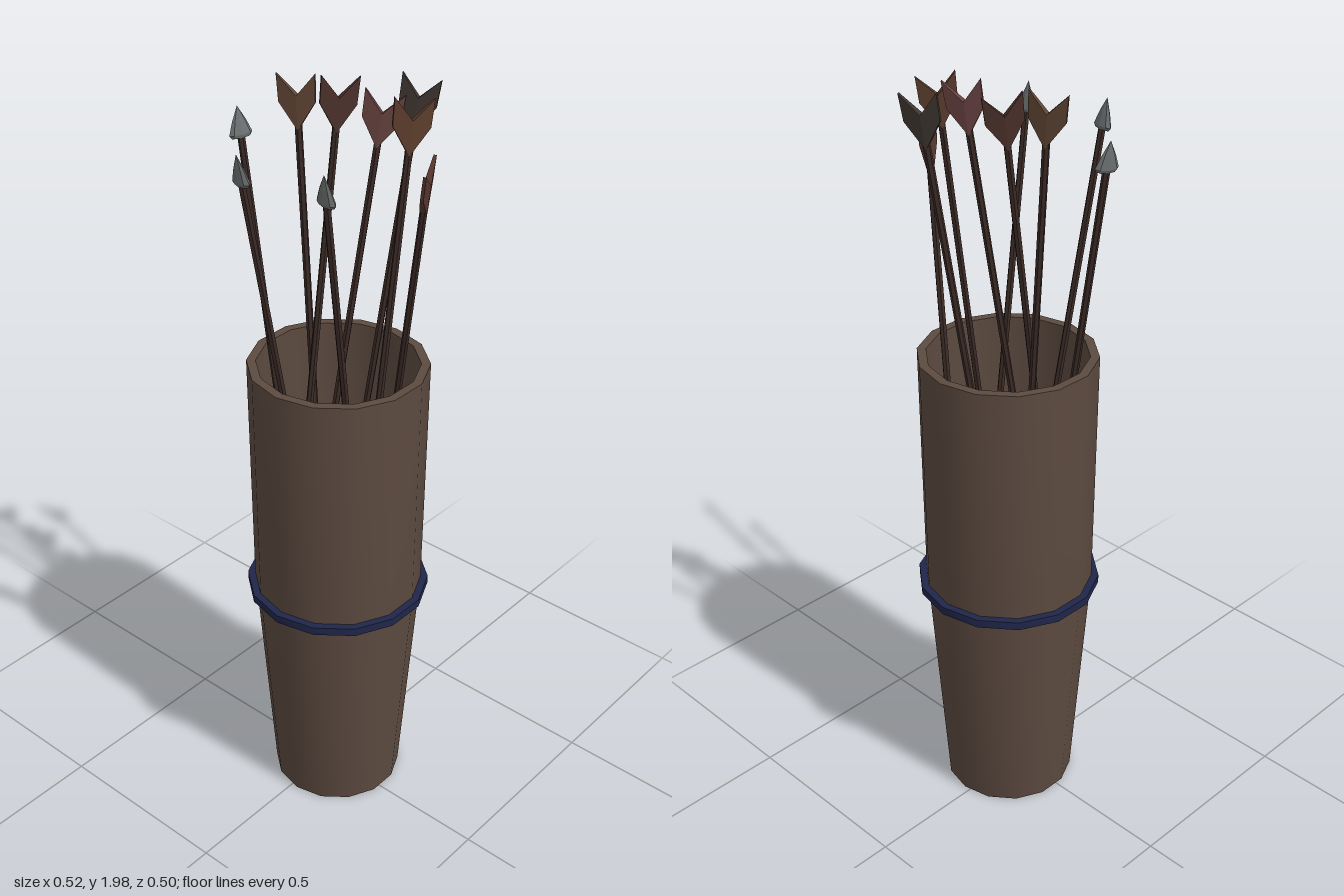
import * as THREE from 'three';
import { toCreasedNormals } from 'three/addons/utils/BufferGeometryUtils.js';

const SIDES = 14;
const mat = (color, flatShading = false) => new THREE.MeshStandardMaterial({ color, flatShading });

function mesh(name, geometry, material) {
  const m = new THREE.Mesh(geometry, material);
  m.name = name;
  return m;
}

// Revolved part with sharp profile corners and a smooth wall
function turned(profile) {
  const g = new THREE.LatheGeometry(profile.map(([r, y]) => new THREE.Vector2(r, y)), SIDES);
  return toCreasedNormals(g, 0.6);
}

// Flat swallow-tailed fletching, thinner towards the wing tips
function fletchingGeometry() {
  const s = new THREE.Shape();
  [[0, 0.905], [0.044, 0.97], [0.046, 1.035], [0, 0.985], [-0.046, 1.035], [-0.044, 0.97]]
    .forEach(([x, y], i) => (i ? s.lineTo(x, y) : s.moveTo(x, y)));
  const g = new THREE.ExtrudeGeometry(s, { depth: 0.018, bevelEnabled: false });
  g.translate(0, 0, -0.009);
  const p = g.attributes.position;
  for (let i = 0; i < p.count; i++) {
    p.setZ(i, p.getZ(i) * (1 - 0.6 * Math.abs(p.getX(i)) / 0.046));
  }
  return g;
}

// Flattened arrowhead with its point at the local origin
function headGeometry() {
  const pts = [[0, 0], [0.018, 0.035], [0.03, 0.066], [0.024, 0.074], [0, 0.07]];
  const g = new THREE.LatheGeometry(pts.map(([r, y]) => new THREE.Vector2(r, y)), 8);
  return g.scale(1, 1, 0.42);
}

export function createModel() {
  const group = new THREE.Group();
  const leather = mat(0x5c4a40);

  // Quiver: tapered foot, straight upper tube, open at the top
  const quiver = new THREE.Group();
  quiver.name = 'quiver';
  quiver.position.set(0.018, 0, -0.016);
  quiver.add(mesh('body', turned([
    [0, 0], [0.173, 0], [0.219, 0.64], [0.225, 1.295],
    [0.202, 1.295], [0.2, 0.65], [0, 0.65],
  ]), leather));
  quiver.add(mesh('band', turned([
    [0.215, 0.63], [0.238, 0.63], [0.238, 0.652], [0.215, 0.652], [0.215, 0.63],
  ]), mat(0x20264a)));
  group.add(quiver);

  // Arrows: tip, tail, direction of the flat side (x, z), fletching and head colours
  const grey = 0x6c7070;
  const arrows = [
    [[-0.038, 0.95, -0.005], [-0.12, 1.95, -0.028], [0.085, -0.04], 0x5e4332, 0x5e4332],
    [[-0.048, 0.95, 0.047], [-0.048, 1.95, -0.095], [0.052, -0.075], 0x4a302a, 0x5c3a35],
    [[0.01, 0.95, 0.036], [0.09, 1.95, -0.085], [0.075, -0.045], 0x664240, 0x664240],
    [[0.01, 0.95, -0.095], [0.09, 1.95, -0.215], [0.085, -0.04], 0x3e3530, 0x4c4842],
    [[0.165, 0.95, 0.048], [0.165, 1.95, -0.095], [0.06, -0.08], 0x5a3d2c, 0x5a4030],
    [[0.046, 0.84, -0.165], [0.236, 1.81, -0.062], [0.04, 0.085], 0x5a3830, 0x5a3a36],
    [[-0.253, 1.89, 0.03], [-0.1, 0.9, 0.033], [0.03, -0.085], 0x3a2a26, grey],
    [[-0.052, 1.89, 0.242], [0.01, 0.9, 0.097], [0.09, 0.015], 0x40352c, grey],
    [[0.165, 1.89, 0.203], [0.133, 0.9, 0.045], [0.09, 0.012], 0x55362f, grey],
  ];
  const shaftGeo = new THREE.CylinderGeometry(0.009, 0.009, 0.92, 6).translate(0, 0.525, 0);
  const fletchGeo = fletchingGeometry();
  const headGeo = headGeometry();
  const shaftMat = mat(0x3a2a25, true);

  arrows.forEach(([tip, tail, flat, fletchColor, headColor]) => {
    const arrow = new THREE.Group();
    arrow.name = 'arrow';
    arrow.add(mesh('shaft', shaftGeo, shaftMat));
    arrow.add(mesh('fletching', fletchGeo, mat(fletchColor, true)));
    arrow.add(mesh('arrowhead', headGeo, mat(headColor, true)));

    // Local y runs from tip to tail, local x lies along the flat side
    const start = new THREE.Vector3(...tip);
    const y = new THREE.Vector3(...tail).sub(start).normalize();
    const x = new THREE.Vector3(flat[0], 0, flat[1]);
    x.addScaledVector(y, -x.dot(y)).normalize();
    const z = new THREE.Vector3().crossVectors(x, y);
    arrow.quaternion.setFromRotationMatrix(new THREE.Matrix4().makeBasis(x, y, z));
    arrow.position.copy(start);
    group.add(arrow);
  });

  return group;
}
